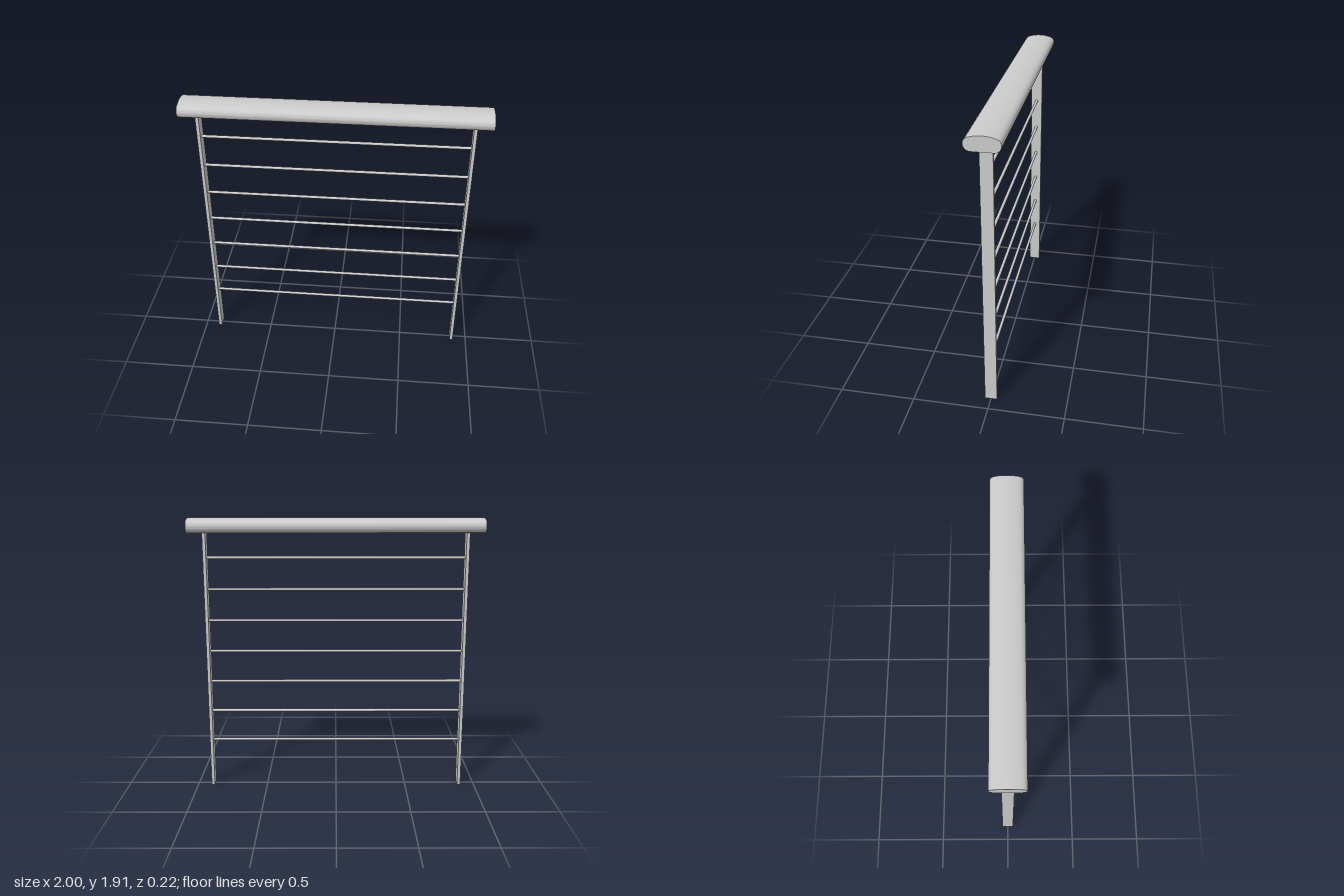
import * as THREE from 'three';
import { toCreasedNormals } from 'three/addons/utils/BufferGeometryUtils.js';

export function createModel() {
  const model = new THREE.Group();
  model.name = 'railing';
  const material = new THREE.MeshStandardMaterial({ color: 0xcccccc });

  const add = (name, geometry, x, y, z) => {
    const mesh = new THREE.Mesh(geometry, material);
    mesh.name = name;
    mesh.position.set(x, y, z);
    model.add(mesh);
    return mesh;
  };

  // Handrail: flat underside, rounded sides, gently domed top
  const profile = new THREE.Shape();
  profile.moveTo(-0.066, 0);
  profile.lineTo(0.066, 0);
  profile.bezierCurveTo(0.09, 0, 0.109, 0.02, 0.109, 0.045);
  profile.bezierCurveTo(0.109, 0.063, 0.098, 0.076, 0.08, 0.083);
  profile.bezierCurveTo(0.03, 0.1, -0.03, 0.1, -0.08, 0.083);
  profile.bezierCurveTo(-0.098, 0.076, -0.109, 0.063, -0.109, 0.045);
  profile.bezierCurveTo(-0.109, 0.02, -0.09, 0, -0.066, 0);
  const rail = new THREE.ExtrudeGeometry(profile, { depth: 2, bevelEnabled: false, curveSegments: 10 });
  rail.translate(0, 0, -1).rotateY(Math.PI / 2);
  add('handrail', toCreasedNormals(rail, 0.6), 0, 1.817, 0);

  // Flat-bar posts
  const post = new THREE.BoxGeometry(0.022, 1.818, 0.08);
  add('leftPost', post, 0.892, 0.909, 0);
  add('rightPost', post, -0.892, 0.909, 0);

  // Round horizontal bars between the posts
  const bar = new THREE.CylinderGeometry(0.01, 0.01, 1.764, 20).rotateZ(Math.PI / 2);
  for (let i = 0; i < 7; i++) add(`bar${i + 1}`, bar, 0, 0.337 + i * 0.218, 0);

  return model;
}
